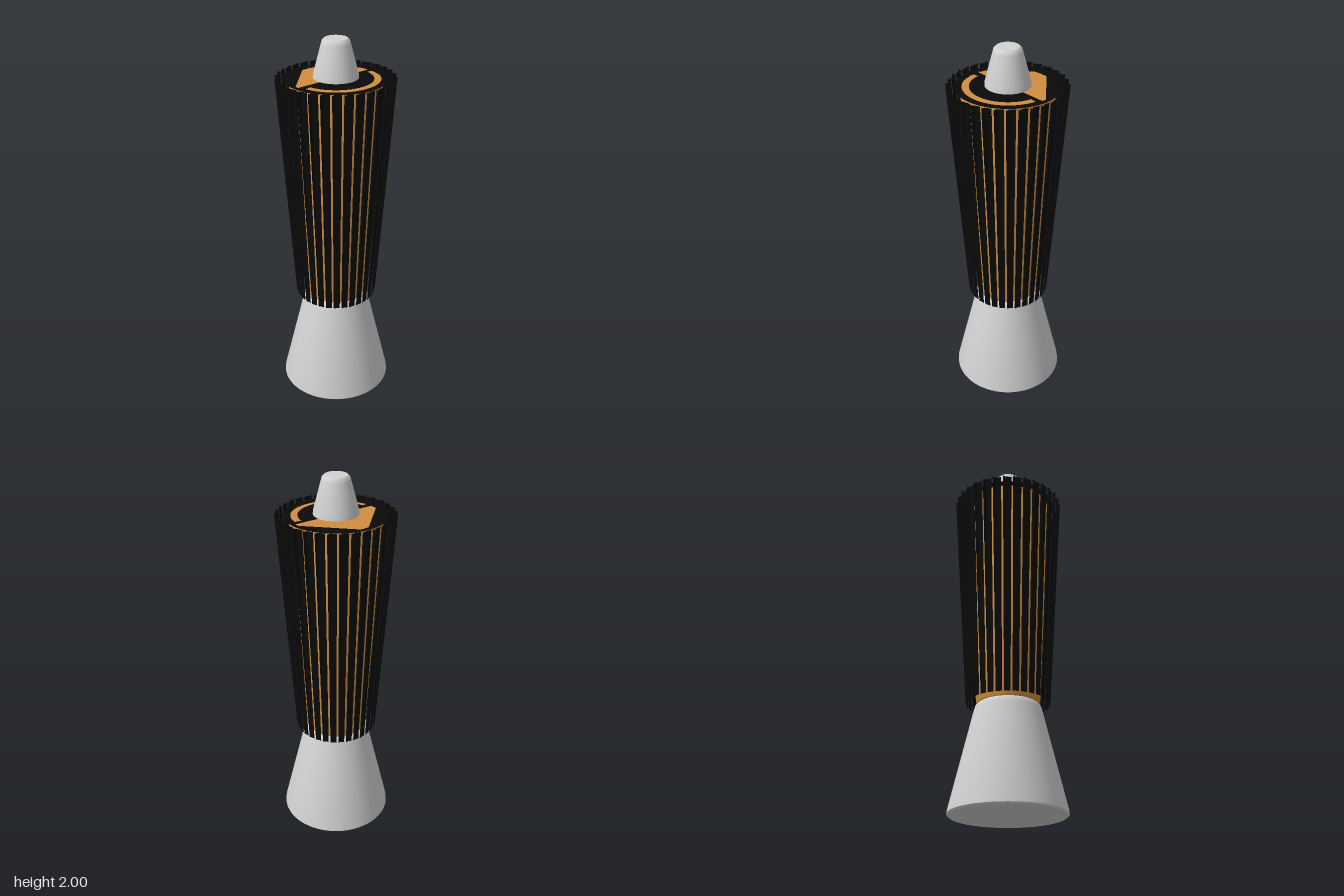
import * as THREE from 'three';
import { toCreasedNormals } from 'three/addons/utils/BufferGeometryUtils.js';

const material = (name, color, side = THREE.FrontSide) => {
  const m = new THREE.MeshStandardMaterial({ color, side });
  m.name = name;
  return m;
};

export function createModel() {
  const group = new THREE.Group();
  const silver = material('silver', 0xd2d2d2);
  const amber = material('amber', 0xd08e3e);
  const black = material('black', 0x0a0a0a, THREE.DoubleSide);

  const add = (name, geometry, mat) => {
    const mesh = new THREE.Mesh(geometry, mat);
    mesh.name = name;
    group.add(mesh);
  };
  const lathe = (points) => toCreasedNormals(
    new THREE.LatheGeometry(points.map(([r, y]) => new THREE.Vector2(r, y)), 64), 0.6);

  // Tapered metal base and cap
  add('base', lathe([[0, 0], [0.294, 0], [0.302, 0.008], [0.3, 0.025],
    [0.178, 0.54], [0.172, 0.56], [0.16, 0.572], [0, 0.575]]), silver);
  add('cap', lathe([[0, 1.805], [0.115, 1.805], [0.113, 1.825],
    [0.073, 1.975], [0.069, 1.99], [0.058, 2], [0, 2]]), silver);

  // Glowing vessel inside the slatted shade
  add('vessel', lathe([[0, 0.574], [0.162, 0.574], [0.168, 0.6],
    [0.235, 1.78], [0.23, 1.794], [0, 1.794]]), amber);

  // Dark lid with cut-outs that show the vessel
  const lid = new THREE.Shape().absarc(0, 0, 0.262, 0, Math.PI * 2, false);
  const cutout = [[0.07, 0.23], [0.09, 0.22], [0, 0], [-0.09, -0.22],
    [-0.11, -0.21], [-0.225, 0.07], [-0.21, 0.115]];
  lid.holes.push(new THREE.Path(cutout.map(([x, y]) => new THREE.Vector2(x, y))));
  const slot = new THREE.Path();
  slot.absarc(0, 0, 0.225, 1.05, -1.8, true);
  slot.absarc(0, 0, 0.19, -1.8, 1.05, false);
  slot.closePath();
  lid.holes.push(slot);
  const lidGeometry = new THREE.ShapeGeometry(lid, 48);
  lidGeometry.rotateX(-Math.PI / 2).translate(0, 1.8, 0);
  add('lid', lidGeometry, black);

  // Ring of slats: thin flaring panels, each with a sharp lip beside the slit
  const count = 32;
  const step = (Math.PI * 2) / count;
  const section = (start, r, y, lip) => {
    const slit = 0.01 / r;
    const a = start + slit / 2;
    const end = start + step - slit / 2;
    return [[a, r], [a + 0.012, r + lip], [a + 0.05, r], [(a + end) / 2, r], [end, r]]
      .map(([t, d]) => [Math.sin(t) * d, y, Math.cos(t) * d]);
  };
  const positions = [];
  for (let i = 0; i < count; i++) {
    const low = section(i * step, 0.217, 0.575, 0.004);
    const high = section(i * step, 0.289, 1.81, 0.016);
    for (let j = 0; j < low.length - 1; j++) {
      positions.push(...low[j], ...low[j + 1], ...high[j + 1],
        ...low[j], ...high[j + 1], ...high[j]);
    }
  }
  const slats = new THREE.BufferGeometry();
  slats.setAttribute('position', new THREE.Float32BufferAttribute(positions, 3));
  slats.computeVertexNormals();
  add('slats', slats, black);

  return group;
}
